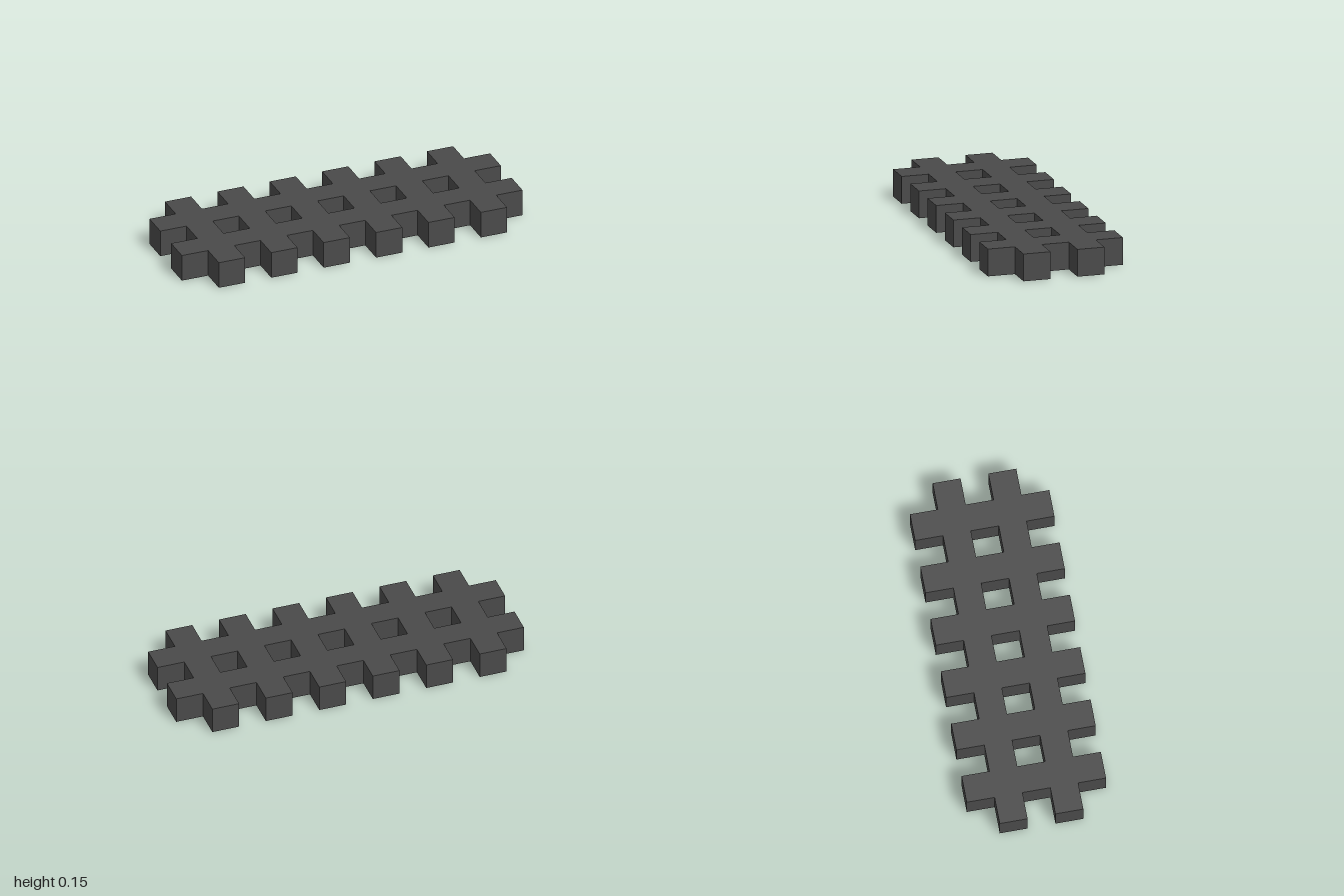
import * as THREE from 'three';

const COLS = 13, ROWS = 5;   // lattice size in square cells
const CELL = 2 / COLS;       // side of one cell, also the thickness

// Lattice corner (column, row) to centred model units
const corner = (c, r) => new THREE.Vector2((c - COLS / 2) * CELL, (r - ROWS / 2) * CELL);

export function createModel() {
  const group = new THREE.Group();
  group.name = 'lattice';

  const darkGrey = new THREE.MeshStandardMaterial({ color: 0x4a4a4a });
  darkGrey.name = 'darkGrey';

  // Half of the outline: toothed long side, then the notched end
  const half = [];
  for (let c = 0; c < COLS; c++) {
    const r = c % 2 ? 0 : 1;
    half.push(corner(c, r), corner(c + 1, r));
  }
  half.push(corner(COLS, 2), corner(COLS - 1, 2), corner(COLS - 1, 3), corner(COLS, 3));

  // The other half is the same turned by 180 degrees
  const outline = new THREE.Shape([...half, ...half.map((p) => p.clone().negate())]);

  // Square openings between the two rails and the crossbars
  for (let c = 2; c < COLS - 1; c += 2) {
    outline.holes.push(new THREE.Path([
      corner(c, 2), corner(c, 3), corner(c + 1, 3), corner(c + 1, 2),
    ]));
  }

  // Slab lying flat on the ground
  const geometry = new THREE.ExtrudeGeometry(outline, { depth: CELL, bevelEnabled: false });
  geometry.rotateX(-Math.PI / 2);

  const slab = new THREE.Mesh(geometry, darkGrey);
  slab.name = 'latticeSlab';
  group.add(slab);
  return group;
}
